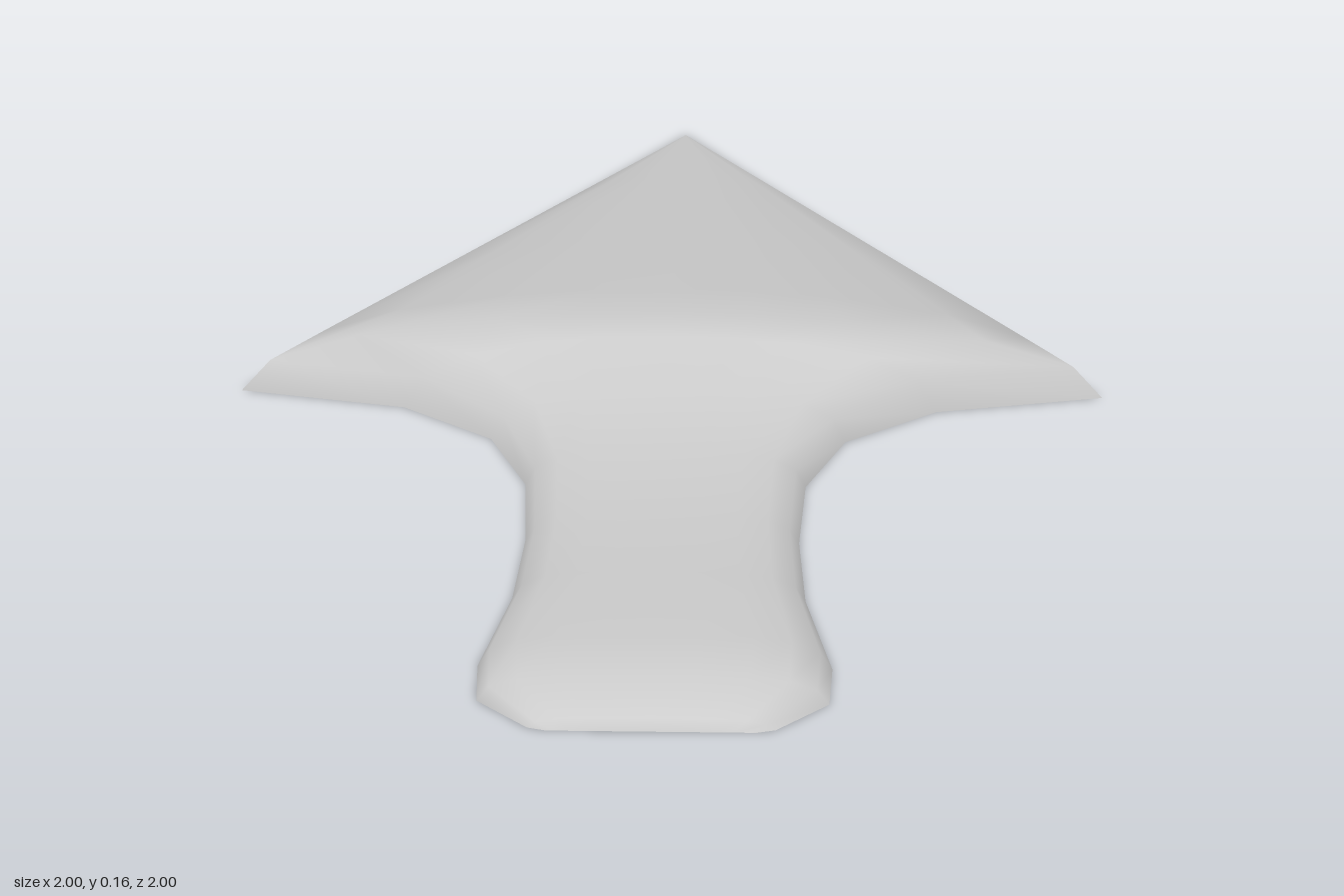
import * as THREE from 'three';

// Half cross-sections: [fraction of half width, fraction of height]
const HEAD = [[0, 1], [0.2, 0.98], [0.4, 0.92], [0.72, 0.7], [0.93, 0.38], [1, 0]];
const SHAFT = [[0, 1], [0.3, 0.99], [0.55, 0.95], [0.77, 0.83], [0.93, 0.52], [1, 0]];

// Stations along the diagonal axis: [position, half width, height, blend from head to shaft section]
const STATIONS = [
  [-1.414, 0, 0, 0],
  [-1.0, 0.219, 0.045, 0],
  [-0.5, 0.483, 0.1, 0],
  [-0.12, 0.684, 0.141, 0],
  [0.03, 0.764, 0.155, 0],
  [0.1, 0.467, 0.138, 0.3],
  [0.233, 0.304, 0.092, 0.6],
  [0.417, 0.233, 0.06, 1],
  [0.63, 0.219, 0.047, 1],
  [0.834, 0.226, 0.048, 1],
  [1.054, 0.262, 0.055, 1],
  [1.16, 0.255, 0.045, 1],
  [1.237, 0.177, 0.017, 1],
  [1.245, 0.15, 0, 1],
];

// Full section, mirrored from one edge to the other
function section(blend) {
  const half = HEAD.map(([a, b], i) => [
    THREE.MathUtils.lerp(a, SHAFT[i][0], blend),
    THREE.MathUtils.lerp(b, SHAFT[i][1], blend),
  ]);
  const left = half.slice(1).reverse().map(([a, b]) => [-a, b]);
  return [...left, ...half];
}

// Open shell lofted through the stations, laid along the x = z diagonal
function loft() {
  const positions = [];
  const indices = [];
  const n = HEAD.length * 2 - 1;
  for (const [u, width, height, blend] of STATIONS) {
    for (const [a, b] of section(blend)) {
      const v = a * width;
      positions.push((u + v) * Math.SQRT1_2, b * height, (u - v) * Math.SQRT1_2);
    }
  }
  for (let i = 0; i < STATIONS.length - 1; i++) {
    for (let j = 0; j < n - 1; j++) {
      const a = i * n + j;
      const b = a + n;
      if (i > 0) indices.push(a, b, a + 1);
      indices.push(b, b + 1, a + 1);
    }
  }
  const geometry = new THREE.BufferGeometry();
  geometry.setAttribute('position', new THREE.Float32BufferAttribute(positions, 3));
  geometry.setIndex(indices);
  geometry.computeVertexNormals();
  return geometry;
}

export function createModel() {
  const grey = new THREE.MeshStandardMaterial({ color: 0xcccccc, side: THREE.DoubleSide });
  grey.name = 'light grey';
  const group = new THREE.Group();
  group.name = 'arrow pointer';

  // Pointed head and rounded shaft in one smooth shell
  const arrow = new THREE.Mesh(loft(), grey);
  arrow.name = 'arrowShell';
  group.add(arrow);
  return group;
}
